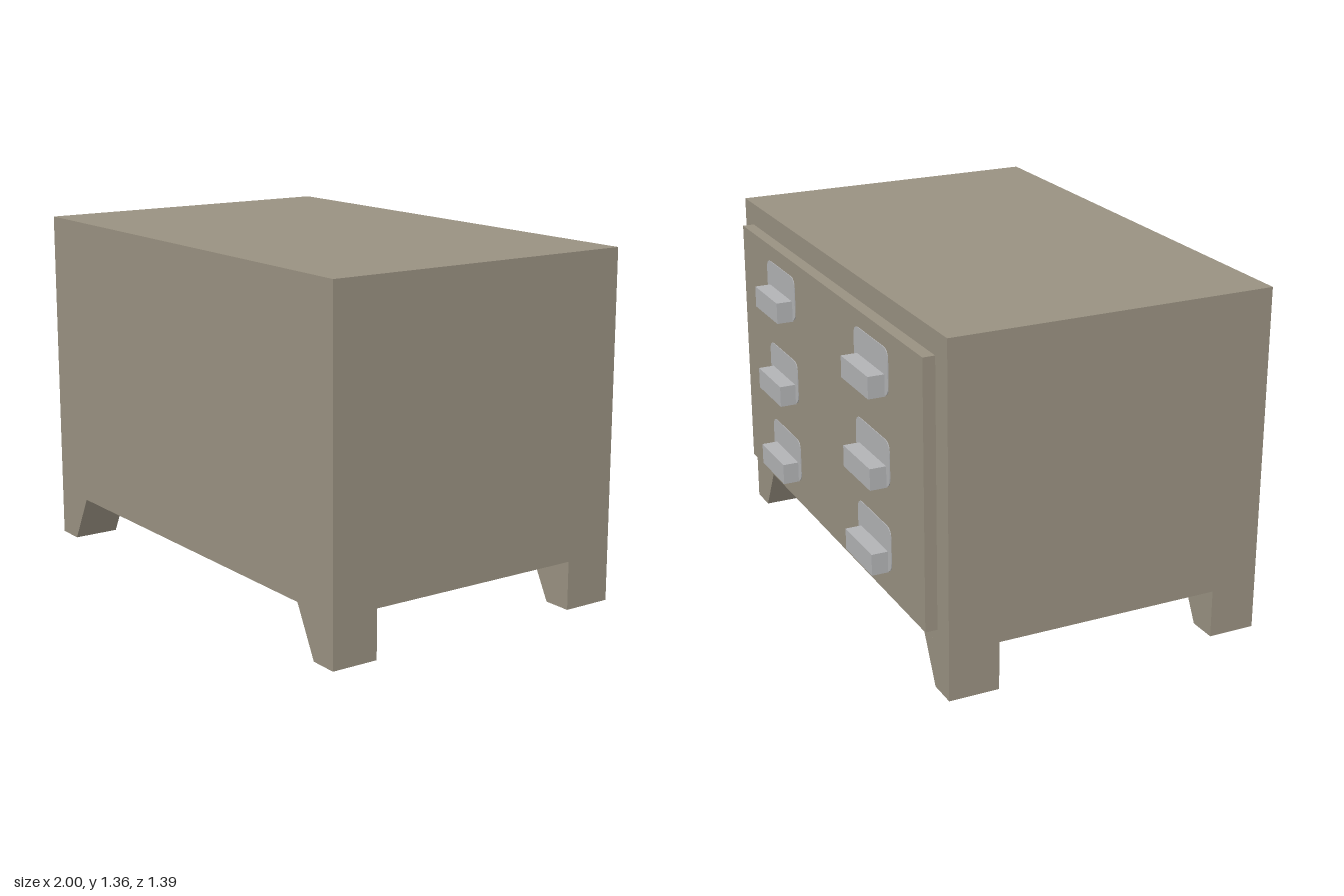
import * as THREE from 'three';

const wood = new THREE.MeshStandardMaterial({ color: 0x999181 });
wood.name = 'taupe wood';
const metal = new THREE.MeshStandardMaterial({ color: 0xb2b3b5 });
metal.name = 'grey metal';

function add(parent, name, geometry, material, x = 0, y = 0, z = 0) {
  const mesh = new THREE.Mesh(geometry, material);
  mesh.name = name;
  mesh.position.set(x, y, z);
  parent.add(mesh);
  return mesh;
}

// Rounded rectangle centred on the origin
function roundedRect(w, h, r) {
  const x = w / 2, y = h / 2;
  const s = new THREE.Shape();
  s.moveTo(-x + r, -y);
  s.lineTo(x - r, -y);
  s.quadraticCurveTo(x, -y, x, -y + r);
  s.lineTo(x, y - r);
  s.quadraticCurveTo(x, y, x - r, y);
  s.lineTo(-x + r, y);
  s.quadraticCurveTo(-x, y, -x, y - r);
  s.lineTo(-x, -y + r);
  s.quadraticCurveTo(-x, -y, -x + r, -y);
  return s;
}

// Leg with a vertical outer side and a slanted inner side
function legGeometry(side, depth) {
  const points = [[1, 0], [1, 0.19], [0.785, 0.19], [0.885, 0]];
  const shape = new THREE.Shape(points.map(([x, y]) => new THREE.Vector2(side * x, y)));
  return new THREE.ExtrudeGeometry(shape, { depth, bevelEnabled: false });
}

export function createModel() {
  const model = new THREE.Group();
  model.name = 'chestOfDrawers';

  // Cabinet and raised drawer panel
  add(model, 'cabinet', new THREE.BoxGeometry(2, 1.17, 1.28), wood, 0, 0.775, 0.057);
  add(model, 'drawerPanel', new THREE.BoxGeometry(1.81, 1.03, 0.05), wood, 0, 0.755, -0.605);

  // Four legs
  for (const side of [-1, 1]) {
    add(model, 'frontLeg', legGeometry(side, 0.187), wood, 0, 0, 0.51);
    add(model, 'backLeg', legGeometry(side, 0.198), wood, 0, 0, -0.583);
  }

  // Three rows of handles, each on a thin rounded plate
  const plate = new THREE.ExtrudeGeometry(roundedRect(0.31, 0.18, 0.04), {
    depth: 0.004, bevelEnabled: false, curveSegments: 4,
  });
  const grip = new THREE.BoxGeometry(0.25, 0.084, 0.067);
  for (const y of [1.063, 0.713, 0.375]) {
    for (const x of [-0.46, 0.46]) {
      const handle = new THREE.Group();
      handle.name = 'drawerHandle';
      handle.position.set(x, y, -0.63);
      add(handle, 'handlePlate', plate, metal, 0, 0.053, -0.003);
      add(handle, 'handleGrip', grip, metal, 0, 0, -0.0335);
      model.add(handle);
    }
  }
  return model;
}
